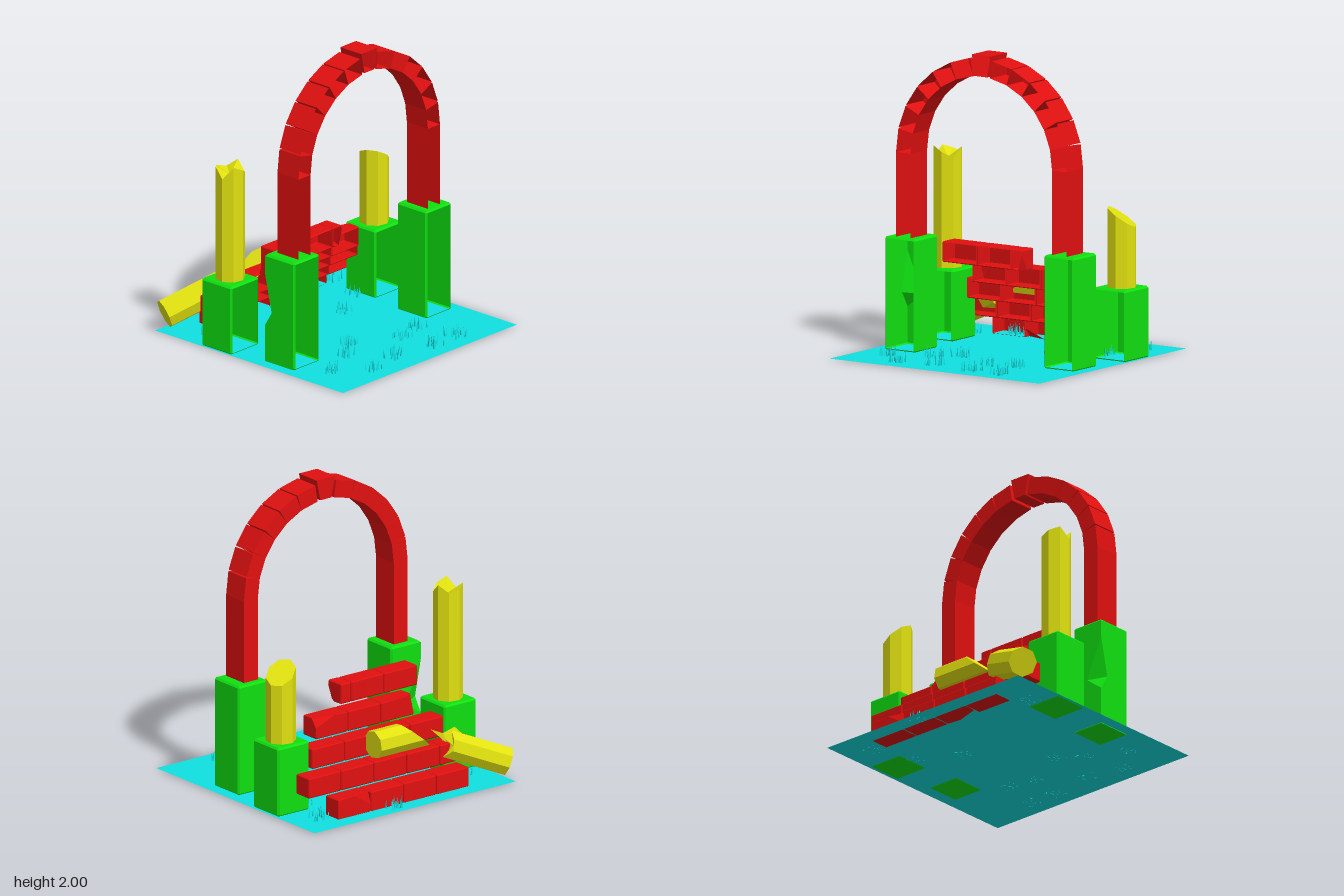
import * as THREE from 'three';
import { mergeGeometries } from 'three/addons/utils/BufferGeometryUtils.js';
import { ConvexGeometry } from 'three/addons/geometries/ConvexGeometry.js';

const mat = (color) => new THREE.MeshStandardMaterial({ color, flatShading: true, side: THREE.DoubleSide });
const V = (x, y, z) => new THREE.Vector3(x, y, z);

// Keep only the triangles whose normal passes the test
function keepFaces(geo, test) {
  const p = geo.attributes.position, out = [];
  const t = new THREE.Triangle(), n = V(0, 0, 0);
  for (let i = 0; i < p.count; i += 3) {
    t.setFromAttributeAndIndices(p, i, i + 1, i + 2);
    t.getNormal(n);
    if (test(n)) out.push(...t.a.toArray(), ...t.b.toArray(), ...t.c.toArray());
  }
  const g = new THREE.BufferGeometry();
  g.setAttribute('position', new THREE.Float32BufferAttribute(out, 3));
  g.computeVertexNormals();
  return g;
}
const openRight = (n) => n.x < 0.95;

// Chamfered block, open on +x; chips maps a corner such as '-+-' to its cut lengths
function block(min, max, bevel, chips = {}, test = openRight) {
  const pts = [];
  for (const sx of [-1, 1]) for (const sy of [-1, 1]) for (const sz of [-1, 1]) {
    const s = [sx, sy, sz];
    const c = s.map((v, i) => (v < 0 ? min[i] : max[i]));
    const chip = chips[s.map((v) => (v < 0 ? '-' : '+')).join('')];
    for (let a = 0; a < 3; a++) {
      const q = chip
        ? c.map((v, i) => v - (i === a ? s[i] * chip[i] : 0))
        : c.map((v, i) => v - (i === a ? 0 : s[i] * bevel));
      pts.push(V(...q));
    }
  }
  return keepFaces(new ConvexGeometry(pts), test);
}

// Eight-sided shaft along +y; cut(x, z, i) reshapes its upper end
function shaft(r, h, cut) {
  const g = new THREE.CylinderGeometry(r, r, h, 8, 1).toNonIndexed();
  g.translate(0, h / 2, 0);
  g.rotateY(0.2);
  const p = g.attributes.position;
  for (let i = 0; i < p.count; i++) {
    if (p.getY(i) > h / 2) p.setY(i, h + cut(p.getX(i), p.getZ(i)));
  }
  g.computeVertexNormals();
  return g;
}
const jagged = (amount) => (x, z) => {
  if (Math.hypot(x, z) < 0.01) return -amount * 0.9;
  return amount * Math.sin(Math.atan2(z, x) * 3 + 0.6) * (x > 0 ? 1 : 0.6);
};

export function createModel() {
  const model = new THREE.Group();
  const red = mat(0xe01010), green = mat(0x10e010), yellow = mat(0xe0e010), teal = mat(0x10e0e0);
  const add = (name, geo, material, parent = model) => {
    const m = new THREE.Mesh(geo, material);
    m.name = name;
    parent.add(m);
    return m;
  };

  // Ground sheet
  const ground = new THREE.PlaneGeometry(1.65, 1.66);
  ground.rotateX(-Math.PI / 2);
  ground.translate(0.015, 0.004, -0.03);
  add('ground', ground, teal);

  // Pedestals: the front tall one has a notch in its outer edge
  add('tallPedestalBack', block([0.08, 0, -0.78], [0.34, 0.745, -0.54], 0.012), green);
  add('lowPedestalFront', block([-0.415, 0, 0.525], [-0.15, 0.47, 0.79], 0.012), green);
  add('lowPedestalBack', block([-0.415, 0, -0.845], [-0.15, 0.47, -0.585], 0.012), green);
  const x0 = 0.08, x1 = 0.34, z0 = 0.477, z1 = 0.72, h = 0.745, b = 0.012;
  const notched = (edge, tip, tipY, far) => {
    const outline = [[far, 0], [far, h - b], [edge, h - b], [edge, 0.62], [tip, tipY], [edge, 0.25], [edge, 0]];
    return new THREE.ShapeGeometry(new THREE.Shape(outline.map((q) => new THREE.Vector2(...q)))).toNonIndexed();
  };
  const frontFace = notched(x0, 0.14, 0.35, x1 - b);
  frontFace.translate(0, 0, z1);
  const sideFace = notched(z1, 0.6, 0.34, z0 + b);
  sideFace.rotateY(-Math.PI / 2);
  sideFace.translate(x0, 0, 0);
  const notch = new THREE.BufferGeometry().setFromPoints([
    V(x0, 0.62, z1), V(x0, 0.34, 0.6), V(0.14, 0.35, z1),
    V(x0, 0.25, z1), V(0.14, 0.35, z1), V(x0, 0.34, 0.6)]);
  const shell = block([x0, 0, z0], [x1, h, z1], b, {}, (n) =>
    Math.abs(n.x) < 0.95 && n.z < 0.95 && !(n.x < -0.5 && n.z > 0.5 && Math.abs(n.y) < 0.1));
  const parts = [shell, frontFace, sideFace, notch].map((g) => {
    g.deleteAttribute('uv');
    g.computeVertexNormals();
    return g;
  });
  add('tallPedestalFront', mergeGeometries(parts), green);

  // Arch: two legs, thirteen wedge stones, the middle one a keystone
  const arch = new THREE.Group();
  arch.name = 'arch';
  model.add(arch);
  const cy = 1.3, cz = -0.027, rIn = 0.56, rOut = 0.675, ax0 = 0.125, ax1 = 0.31;
  const stone = (quad) => keepFaces(
    new ConvexGeometry(quad.flatMap(([z, y]) => [V(ax0, y, z), V(ax1, y, z)])), openRight);
  for (const s of [-1, 1]) {
    add('archLeg', stone([[cz + s * rIn, 0.73], [cz + s * rOut, 0.73],
      [cz + s * rOut, cy], [cz + s * rIn, cy]]), red, arch);
  }
  const N = 13;
  for (let i = 0; i < N; i++) {
    if (i === 6) {
      add('keystone', stone([[cz - 0.045, 1.86], [cz + 0.045, 1.86],
        [cz + 0.075, 2], [cz - 0.075, 2]]), red, arch);
      continue;
    }
    const a = (Math.PI * i) / N, c = (Math.PI * (i + 1)) / N, gap = 0.007;
    const at = (r, t) => [cz + r * Math.cos(t), cy + r * Math.sin(t)];
    add('archStone', stone([at(rIn, a), at(rOut, a + (i ? gap : 0)),
      at(rOut, c - (i < N - 1 ? gap : 0)), at(rIn, c)]), red, arch);
  }

  // Stepped brick wall: each course sits one brick width further in
  const wall = new THREE.Group();
  wall.name = 'brickWall';
  model.add(wall);
  const courses = [
    [-0.573, -0.303, -0.033, 0.238, 0.508],
    [-0.708, -0.438, -0.168, 0.103, 0.373, 0.65],
    [-0.573, -0.303, -0.033, 0.238, 0.515],
    [-0.435, -0.168, 0.103, 0.375],
    [-0.12, -0.033, 0.238, 0.515]];
  const chips = {
    '0,0': { '-++': [0.03, 0.08, 0.13] },
    '0,2': { '+-+': [0.05, 0.06, 0.16] },
    '3,0': { '-+-': [0.045, 0.06, 0.15] },
    '3,2': { '-++': [0.04, 0.13, 0.06] },
    '4,0': { '+--': [0.06, 0.1, 0.03] }
  };
  courses.forEach((joints, row) => {
    const x = -0.695 + 0.1365 * row, y = 0.137 * row;
    for (let i = 0; i + 1 < joints.length; i++) {
      add('brick', block([x, y, joints[i] + 0.002], [x + 0.134, y + 0.135, joints[i + 1] - 0.002],
        0.006, chips[`${row},${i}`]), red, wall);
    }
  });

  // Standing broken columns
  add('columnFront', shaft(0.098, 0.78, jagged(0.05)), yellow).position.set(-0.283, 0.45, 0.657);
  add('columnBack', shaft(0.098, 0.48, (x, z) => 0.6 * z + 0.3 * x), yellow).position.set(-0.283, 0.45, -0.72);

  // Fallen columns
  const up = V(0, 1, 0);
  const fallen = (name, from, to, r, cut) => {
    const dir = to.clone().sub(from);
    const m = add(name, shaft(r, dir.length(), cut), yellow);
    m.quaternion.setFromUnitVectors(up, dir.normalize());
    m.position.copy(from);
  };
  fallen('fallenColumnFront', V(-0.745, 0.13, 0.78), V(-0.575, 0.275, 0.43), 0.098, jagged(0.04));
  fallen('fallenColumnOnWall', V(-0.497, 0.37, -0.13), V(-0.497, 0.37, 0.2), 0.094, (x, z) => 1.2 * z);

  // Loose shards beside the fallen column
  add('shard', new ConvexGeometry([V(-0.555, 0.275, 0.57), V(-0.48, 0.28, 0.62),
    V(-0.46, 0.3, 0.44), V(-0.5, 0.35, 0.54), V(-0.47, 0.275, 0.5)]), yellow);
  add('shard', new ConvexGeometry([V(-0.55, 0.28, 0.43), V(-0.49, 0.37, 0.35),
    V(-0.5, 0.29, 0.44), V(-0.54, 0.34, 0.42)]), yellow);

  // Grass tufts
  let seed = 7;
  const rnd = () => (seed = (seed * 16807) % 2147483647) / 2147483647;
  const tufts = [[0.4, -0.38], [0.69, -0.44], [0.46, -0.19], [0.69, -0.23], [0.65, 0.11], [0.4, 0.29],
    [0.69, 0.36], [0.52, 0.57], [0.29, 0.14], [-0.59, -0.66], [-0.3, -0.57], [-0.15, -0.26], [-0.71, -0.13],
    [-0.48, 0.61], [-0.62, 0.36]];
  for (const [tx, tz] of tufts) {
    const blades = [];
    for (let i = 0; i < 14; i++) {
      const len = 0.045 + 0.035 * rnd();
      const g = new THREE.ConeGeometry(0.007, len, 3, 1, true);
      g.translate(0, len / 2, 0);
      g.rotateZ((rnd() - 0.5) * 0.4);
      g.rotateY(rnd() * 6.28);
      g.translate(tx + (rnd() - 0.5) * 0.11, 0.003, tz + (rnd() - 0.5) * 0.11);
      blades.push(g);
    }
    add('grassTuft', mergeGeometries(blades), teal);
  }
  return model;
}
